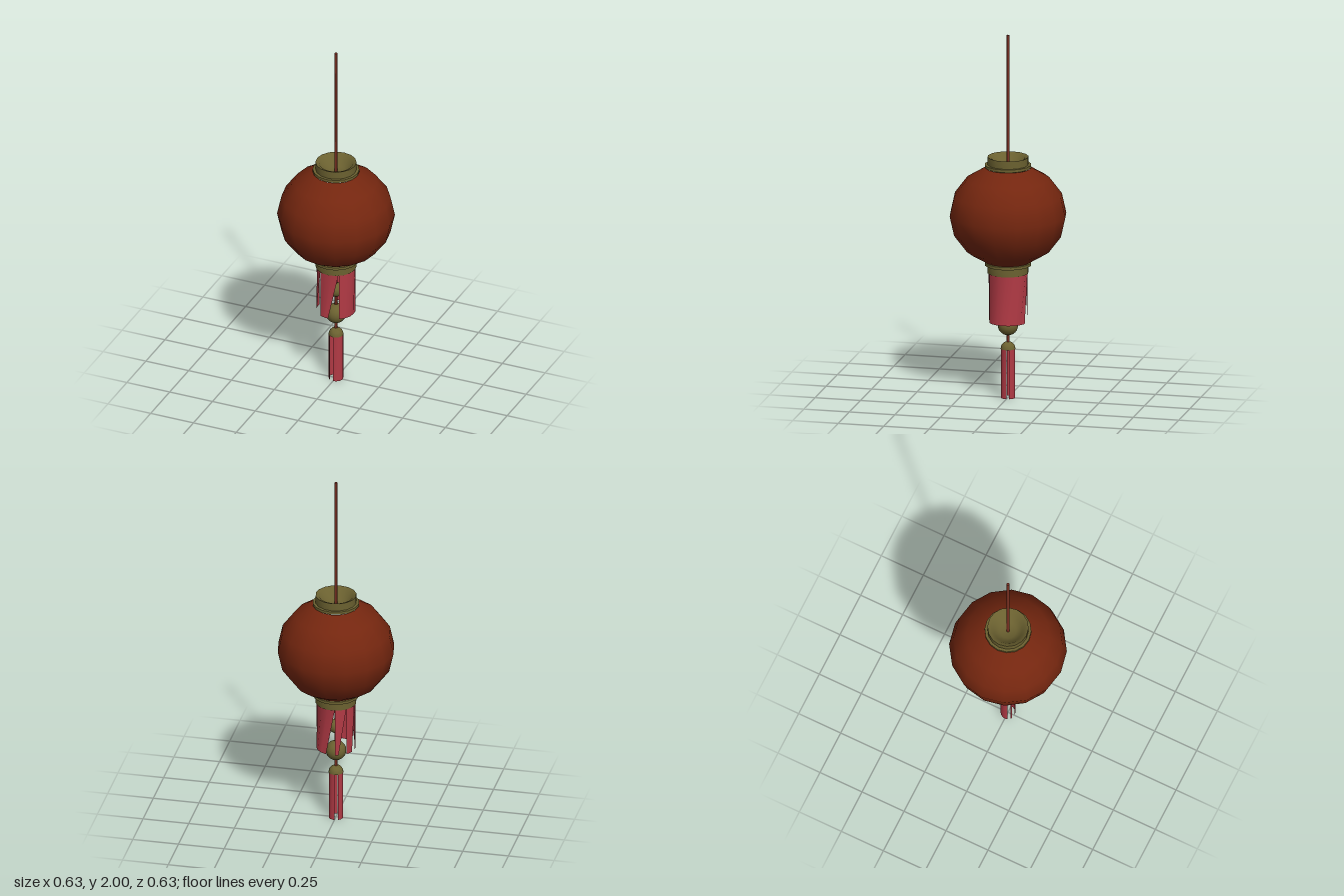
import * as THREE from 'three';
import { toCreasedNormals } from 'three/addons/utils/BufferGeometryUtils.js';

const mat = (name, color, side = THREE.FrontSide) => {
  const m = new THREE.MeshStandardMaterial({ color, side });
  m.name = name;
  return m;
};

export function createModel() {
  const group = new THREE.Group();
  const red = mat('lantern red', 0x74260f);
  const gold = mat('dull gold', 0x6b6130);
  const crimson = mat('fringe crimson', 0xb23a45, THREE.DoubleSide);
  const cordRed = mat('cord red', 0x7a3022);

  const add = (name, geo, material, y = 0) => {
    const mesh = new THREE.Mesh(geo, material);
    mesh.name = name;
    mesh.position.y = y;
    group.add(mesh);
    return mesh;
  };

  // Paper globe, open where the collars sit
  const globe = new THREE.SphereGeometry(0.315, 16, 6, 0, Math.PI * 2, Math.PI / 8, Math.PI * 0.75);
  globe.scale(1, 0.28 / 0.315, 1);
  add('globe', globe, red, 1.01);

  // Flanged collars with a shallow bowl inside, mirrored top and bottom
  const profile = [
    [0.11, 0.255], [0.125, 0.262], [0.125, 0.277], [0.11, 0.277], [0.11, 0.32],
    [0.09, 0.312], [0.075, 0.285], [0.045, 0.268], [0, 0.262],
  ].map(([r, y]) => new THREE.Vector2(r, y));
  const collar = toCreasedNormals(new THREE.LatheGeometry(profile, 16), 0.9);
  add('topCollar', collar, gold, 1.01);
  add('bottomCollar', collar.clone().rotateX(Math.PI), gold, 1.01);

  // Hanging cord and the thread carrying the beads
  const cord = (name, y0, y1) =>
    add(name, new THREE.CylinderGeometry(0.008, 0.008, y1 - y0, 6), cordRed, (y0 + y1) / 2);
  cord('hangingCord', 1.25, 2);
  cord('beadThread', 0.28, 0.76);

  // Beads and the domed tassel cap
  add('smallBead', new THREE.SphereGeometry(0.04, 16, 10), gold, 0.545);
  add('largeBead', new THREE.SphereGeometry(0.055, 16, 12), gold, 0.4);
  const dome = [[0, 0], [0.04, 0]];
  for (let i = 1; i <= 5; i++) {
    const a = (i / 5) * Math.PI / 2;
    dome.push([0.04 * Math.cos(a), 0.04 * Math.sin(a)]);
  }
  const domeGeo = new THREE.LatheGeometry(dome.map(([r, y]) => new THREE.Vector2(Math.max(r, 0), y)), 16);
  add('tasselCap', toCreasedNormals(domeGeo, 0.9), gold, 0.27);

  // Curved strip between two angles (degrees from the front) at its top and bottom
  const strip = (name, r, y0, y1, topA, topB, botA, botB) => {
    const segs = Math.max(1, Math.round((topB - topA) / 22.5));
    const geo = new THREE.PlaneGeometry(1, 1, segs, 1);
    const p = geo.attributes.position;
    for (let i = 0; i < p.count; i++) {
      const u = p.getX(i) + 0.5;
      const top = p.getY(i) > 0;
      const a = THREE.MathUtils.degToRad(top ? topA + (topB - topA) * u : botA + (botB - botA) * u);
      p.setXYZ(i, r * Math.sin(a), top ? y1 : y0, r * Math.cos(a));
    }
    geo.computeVertexNormals();
    add(name, geo, crimson);
  };

  // Wide fringe: strips meet at the top, each with one slanted edge
  const cuts = [[32, 32], [190, 28], [225, 25], [262, 15], [332, 32]];
  cuts.forEach(([start], i) => {
    const [next, bite] = cuts[(i + 1) % cuts.length];
    const end = next > start ? next : next + 360;
    strip('fringeStrip', 0.105, 0.42, 0.7, start, end, start, end - bite);
  });

  // Narrow tassel: upright strips with open gaps
  [[0, 92], [113, 180], [210, 293], [315, 330]].forEach(([a, b]) =>
    strip('tasselStrip', 0.039, 0, 0.275, a, b, a, b));

  return group;
}
